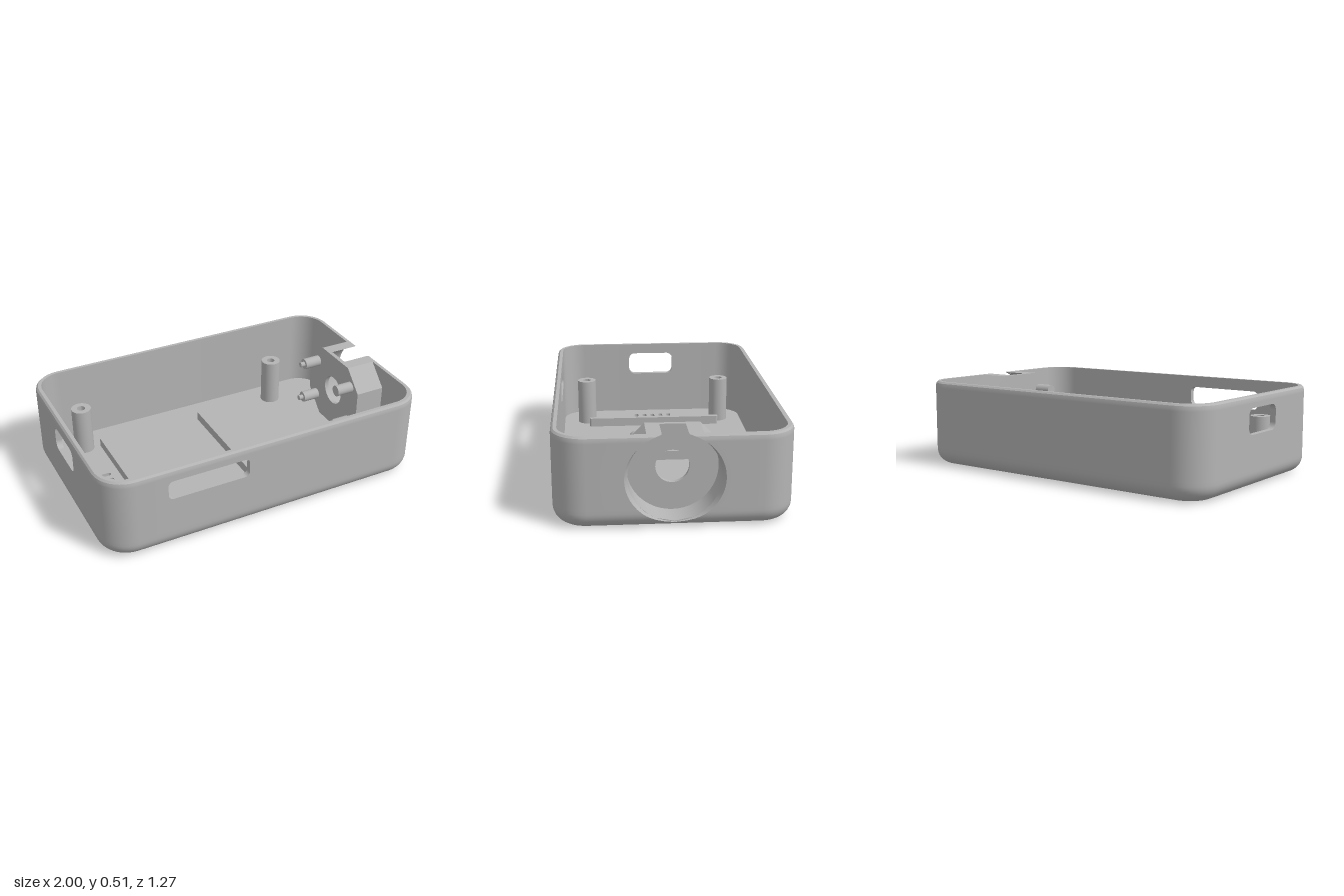
import * as THREE from 'three';
import { toCreasedNormals } from 'three/addons/utils/BufferGeometryUtils.js';

const W = 1, D = 0.635, H = 0.51;          // half width, half depth, height
const R = 0.18, FILLET = 0.09, WALL = 0.034, FLOOR = 0.03;
const CY = 0.275, CR = 0.245;              // round recess: centre height, radius
const CUP_BACK = 0.785, CUP_FLOOR = 0.81;
const SLOT_LOW = 0.28, SLOT_HIGH = 0.46;   // band of wall replaced by slotted panels

// half width of the recess opening at height y, for a wall inset d
function gap(d, y) {
  const t = (y - CY) / CR;
  return Math.abs(t) >= 1 ? 0 : (0.262 - 0.5 * Math.min(d, WALL)) * Math.sqrt(1 - t * t);
}

function roundedRect(shape, x0, y0, x1, y1, r) {
  shape.moveTo(x0 + r, y0);
  shape.absarc(x1 - r, y0 + r, r, -Math.PI / 2, 0);
  shape.absarc(x1 - r, y1 - r, r, 0, Math.PI / 2);
  shape.absarc(x0 + r, y1 - r, r, Math.PI / 2, Math.PI);
  shape.absarc(x0 + r, y0 + r, r, Math.PI, Math.PI * 1.5);
  return shape;
}

function roundHole(x, y, r) {
  const p = new THREE.Path();
  p.absarc(x, y, r, 0, Math.PI * 2);
  return p;
}

function extrude(shape, depth, segments = 10) {
  return new THREE.ExtrudeGeometry(shape, { depth, bevelEnabled: false, curveSegments: segments });
}

// joins rows of points into a surface, leaving out any quads that skip() names
function loft(rows, skip = () => false) {
  const pos = [];
  for (let i = 0; i < rows.length - 1; i++) {
    for (let j = 0; j < rows[i].length - 1; j++) {
      if (skip(i, j)) continue;
      const a = rows[i][j], b = rows[i + 1][j], c = rows[i + 1][j + 1], d = rows[i][j + 1];
      pos.push(...a, ...b, ...d, ...b, ...c, ...d);
    }
  }
  const g = new THREE.BufferGeometry();
  g.setAttribute('position', new THREE.Float32BufferAttribute(pos, 3));
  g.computeVertexNormals();
  return toCreasedNormals(g, 0.5);
}

// one horizontal run around the box, starting and ending at the recess
const CORNER = 10;
function ring([d, y]) {
  const w = gap(d, y), r = R - d, pts = [[W - d, y, w]];
  const corner = (sx, sz, start) => {
    for (let k = 0; k <= CORNER; k++) {
      const a = start + (k / CORNER) * Math.PI / 2;
      pts.push([sx * (W - R) + r * Math.cos(a), y, sz * (D - R) + r * Math.sin(a)]);
    }
  };
  corner(1, 1, 0);
  pts.push([-0.11, y, D - d], [-0.68, y, D - d]);
  corner(-1, 1, Math.PI / 2);
  pts.push([-W + d, y, 0.19], [-W + d, y, -0.19]);
  corner(-1, -1, Math.PI);
  corner(1, -1, Math.PI * 1.5);
  pts.push([W - d, y, -w]);
  return pts;
}
const FRONT_COL = CORNER + 2, LEFT_COL = FRONT_COL + CORNER + 3;

// octagon around the recess, trimmed at the rim and the floor
function cupOutline() {
  const a = 0.27, h = a * Math.tan(Math.PI / 8), top = a + h - (H - CY), low = 0.02;
  const bottom = a + h - (CY - low);
  return [[top, H], [a, CY + h], [a, CY - h], [bottom, low],
    [-bottom, low], [-a, CY - h], [-a, CY + h], [-top, H]];
}

export function createModel() {
  const group = new THREE.Group();
  const grey = new THREE.MeshStandardMaterial({ color: 0xb4b4b4, side: THREE.DoubleSide });
  grey.name = 'grey plastic';
  const add = (name, geometry, x = 0, y = 0, z = 0) => {
    const m = new THREE.Mesh(geometry, grey);
    m.name = name;
    m.position.set(x, y, z);
    group.add(m);
    return m;
  };

  // wall profile as [inset, height]: fillet, outside, rim, inside
  const outside = [];
  for (let k = 0; k <= 10; k++) {
    const a = (k / 10) * Math.PI / 2;
    outside.push([FILLET * (1 - Math.sin(a)), FILLET * (1 - Math.cos(a))]);
  }
  const heights = [];
  for (let k = 1; k <= 8; k++) heights.push(FILLET + (SLOT_LOW - FILLET) * k / 8);
  for (let k = 1; k <= 6; k++) heights.push(SLOT_LOW + (SLOT_HIGH - SLOT_LOW) * k / 6);
  heights.push(0.473, 0.485);
  heights.forEach(y => outside.push([0, y]));
  outside.push([0.004, 0.5], [0.014, H]);
  const inside = [[WALL, H], ...[...heights].reverse().map(y => [WALL, y]),
    [WALL, 0.07], [WALL, 0.05], [WALL, FLOOR], [FILLET, FLOOR]];
  const profile = [...outside, ...inside];
  const inBand = y => y > SLOT_LOW - 1e-6 && y < SLOT_HIGH + 1e-6;
  add('walls', loft(profile.map(ring), (i, j) =>
    (j === FRONT_COL || j === LEFT_COL) && inBand(profile[i][1]) && inBand(profile[i + 1][1])));

  // slotted wall panels
  const panel = (x0, x1, slot) => {
    const s = new THREE.Shape([[x0, SLOT_LOW], [x1, SLOT_LOW], [x1, SLOT_HIGH], [x0, SLOT_HIGH]]
      .map(p => new THREE.Vector2(...p)));
    s.holes.push(roundedRect(new THREE.Path(), ...slot));
    return extrude(s, WALL);
  };
  add('frontSlotPanel', panel(-0.68, -0.11, [-0.64, 0.325, -0.155, 0.44, 0.03]), 0, 0, D - WALL);
  add('sideSlotPanel', panel(-0.19, 0.19, [-0.15, 0.3, 0.15, 0.445, 0.04]).rotateY(-Math.PI / 2),
    -W + WALL);

  // flared edge of the recess through the wall
  for (const side of [1, -1]) {
    const rows = outside.filter(p => p[1] > 0.025).map(([d, y]) => [
      [W - WALL, y, side * gap(WALL, y)], [W - d, y, side * gap(d, y)]]);
    add('recessEdge', loft(side > 0 ? rows : rows.reverse()));
  }

  // floor with screw holes and vents; shape y maps to -z
  const posts = [-0.745, 0.58].flatMap(x => [-0.447, 0.447].map(z => [x, z]));
  const base = roundedRect(new THREE.Shape(), -W + FILLET, -D + FILLET, W - FILLET, D - FILLET, R - FILLET);
  posts.forEach(([x, z]) => base.holes.push(roundHole(x, -z, 0.04)));
  for (let k = -2; k <= 2; k++) {
    const z = 0.003 + k * 0.0555;
    base.holes.push(roundedRect(new THREE.Path(), -0.87, z - 0.0135, -0.7, z + 0.0135, 0.012));
  }
  add('floor', extrude(base, FLOOR).rotateX(-Math.PI / 2));

  // hollow screw posts with a wider bore below
  const postProfile = [[0.04, 0], [0.04, 0.15], [0.025, 0.15], [0.025, 0.32], [0.06, 0.32], [0.06, FLOOR]]
    .reverse().map(p => new THREE.Vector2(...p));
  for (const [x, z] of posts) {
    add('screwPost', toCreasedNormals(new THREE.LatheGeometry(postProfile, 28), 0.5), x, 0, z);
  }

  // floor ribs with rounded ends
  for (const x of [-0.633, 0.043]) {
    const rib = roundedRect(new THREE.Shape(), -0.016, -0.432, 0.016, 0.432, 0.012);
    add('floorRib', extrude(rib, 0.06, 5).rotateX(-Math.PI / 2), x, 0.025, 0);
  }

  // cup behind the recess: open ring, then back plate with a round hole
  const outline = cupOutline();
  const cup = new THREE.Shape();
  const slit = Math.asin((H - CY) / CR);
  cup.moveTo(CR * Math.cos(slit), H);
  outline.forEach(p => cup.lineTo(...p));
  cup.absarc(0, CY, CR, Math.PI - slit, Math.PI * 2 + slit, false);
  add('cupRing', toCreasedNormals(extrude(cup, W - WALL - CUP_FLOOR, 48).rotateY(Math.PI / 2), 0.5), CUP_FLOOR);
  const plate = new THREE.Shape(outline.map(p => new THREE.Vector2(...p)));
  plate.holes.push(roundHole(0, CY, 0.091));
  add('cupBackPlate', toCreasedNormals(
    extrude(plate, CUP_FLOOR - CUP_BACK, 20).rotateY(Math.PI / 2), 0.5), CUP_BACK);

  // mounting pegs, all but one with a thin tip
  for (const sy of [1, -1]) for (const sz of [1, -1]) {
    const y = CY + sy * 0.123, z = sz * 0.187;
    add('peg', new THREE.CylinderGeometry(0.034, 0.034, 0.11, 20).rotateZ(Math.PI / 2), 0.733, y, z);
    if (sy > 0 && sz > 0) continue;
    add('pegTip', new THREE.CylinderGeometry(0.016, 0.016, 0.03, 14).rotateZ(Math.PI / 2), 0.665, y, z);
  }
  return group;
}
